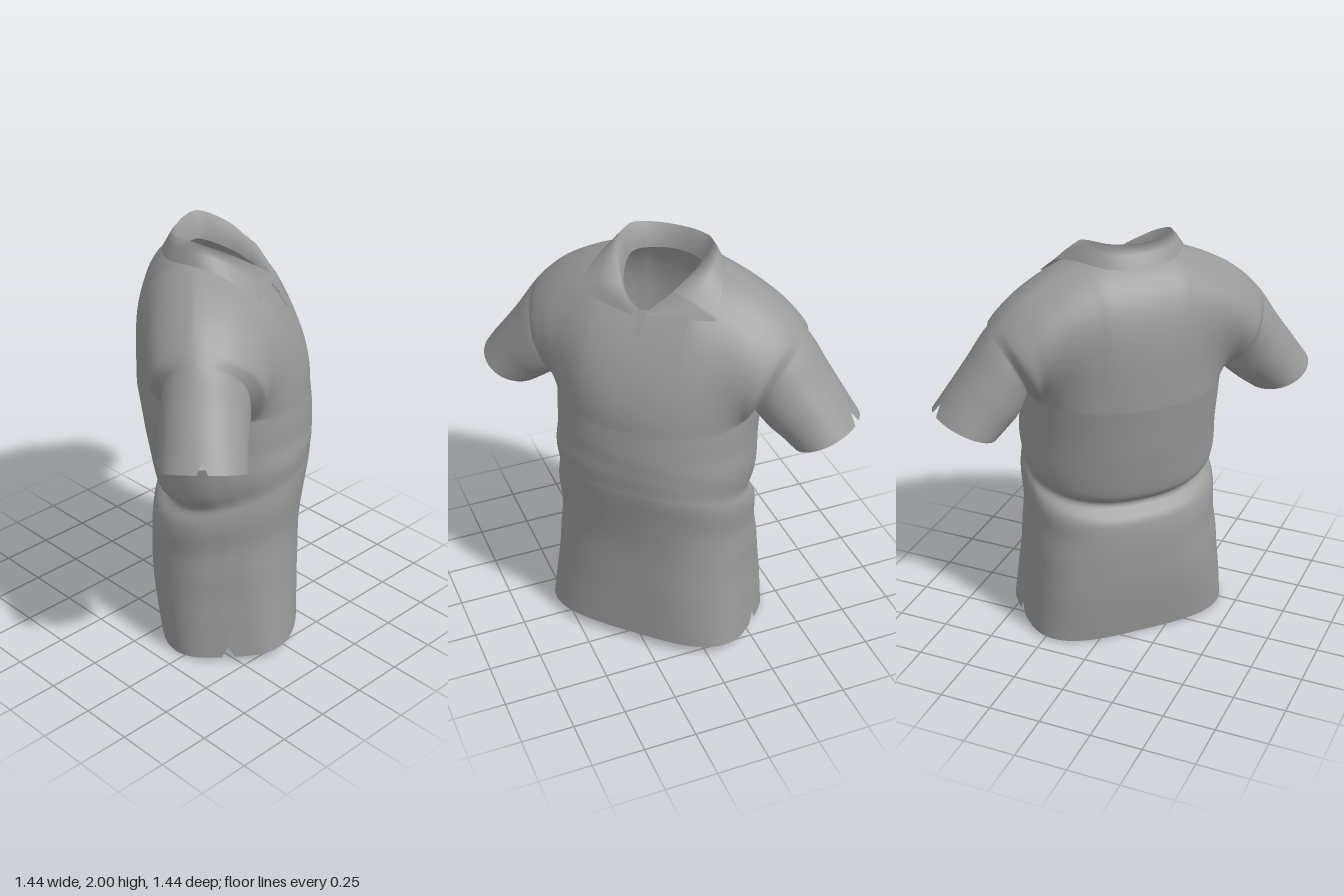
import * as THREE from 'three';
import { mergeGeometries, mergeVertices } from 'three/addons/utils/BufferGeometryUtils.js';

// Catmull-Rom interpolation of whole rows of numbers
function spline(rows, u) {
  const last = rows.length - 1;
  const i = Math.min(Math.floor(u), last - 1), t = u - i;
  const at = (k) => rows[Math.max(0, Math.min(last, k))];
  const [a, b, c, d] = [at(i - 1), at(i), at(i + 1), at(i + 2)];
  return b.map((p, k) => 0.5 * (2 * p + (c[k] - a[k]) * t
    + (2 * a[k] - 5 * p + 4 * c[k] - d[k]) * t * t
    + (3 * p - a[k] - 3 * c[k] + d[k]) * t * t * t));
}

// Surface through a grid of points: lines[i][j] = [x, y, z]
function loft(lines) {
  const m = lines[0].length, index = [];
  for (let i = 0; i < lines.length - 1; i++) {
    for (let j = 0; j < m - 1; j++) {
      const a = i * m + j, b = a + m;
      index.push(a, b, a + 1, b, b + 1, a + 1);
    }
  }
  const g = new THREE.BufferGeometry();
  g.setAttribute('position', new THREE.Float32BufferAttribute(lines.flat(2), 3));
  g.setIndex(index);
  return g;
}

function weld(parts) {
  const g = mergeVertices(mergeGeometries(parts), 1e-4);
  g.computeVertexNormals();
  return g;
}

// Torso rings: height, half width, centre z, half depth, squareness, tilt
const RINGS = [
  [0.03, 0.505, 0.10, 0.332, 3.3, 0.075],
  [0.30, 0.483, 0.08, 0.35, 2.8, 0.10],
  [0.55, 0.465, 0.08, 0.355, 2.5, 0.20],
  [0.76, 0.46, 0.105, 0.365, 2.4, 0.33],
  [0.84, 0.452, 0.14, 0.335, 2.3, 0.36],
  [0.91, 0.463, 0.115, 0.365, 2.3, 0.34],
  [1.04, 0.467, 0.095, 0.385, 2.2, 0.18],
  [1.16, 0.468, 0.08, 0.395, 2.2, 0.06],
  [1.27, 0.47, 0.065, 0.40, 2.2, 0],
];
const [CHEST_Y, CHEST_A, CHEST_Z, CHEST_B, CHEST_N] = RINGS[RINGS.length - 1];

// Shoulder and sleeve stations, neck centre to cuff: ridge x, y, z, neck cut angle front, back,
// bottom x, y, z, front bulge, back bulge, roundness
const HALF = [
  [0.00, 1.93, -0.05, 0.71, 0.30, 0.00, 1.27, 0.065, -0.04, -0.04, 0],
  [0.10, 1.93, -0.05, 0.585, 0.26, 0.10, 1.27, 0.065, -0.035, -0.04, 0],
  [0.18, 1.925, -0.05, 0.35, 0.15, 0.19, 1.27, 0.065, -0.02, -0.05, 0],
  [0.24, 1.91, -0.05, 0, 0, 0.26, 1.27, 0.065, 0.00, -0.06, 0],
  [0.39, 1.85, -0.05, 0, 0, 0.36, 1.27, 0.065, 0.03, -0.10, 0.1],
  [0.53, 1.765, -0.05, 0, 0, 0.43, 1.27, 0.065, 0.09, -0.16, 0.4],
  [0.65, 1.645, -0.04, 0, 0, 0.47, 1.27, 0.065, 0.145, -0.215, 0.8],
  [0.755, 1.49, -0.03, 0, 0, 0.53, 1.22, 0.03, 0.175, -0.21, 1],
  [0.84, 1.375, -0.02, 0, 0, 0.59, 1.17, 0.01, 0.18, -0.20, 1],
  [0.92, 1.265, -0.01, 0, 0, 0.645, 1.13, 0, 0.185, -0.20, 1],
];

function stationList() {
  const mirrored = HALF.slice(1).reverse().map((r) => r.map((v, k) => (k === 0 || k === 5 ? -v : v)));
  const rows = [...mirrored, ...HALF], per = 8, list = [];
  for (let i = 0; i <= (rows.length - 1) * per; i++) list.push(spline(rows, i / per));
  return list;
}

// Front (side = 1) or back (side = -1) of the yoke and both sleeves
function yoke(stations, side) {
  const lines = stations.map((s, i) => {
    let [xT, yT, zT, cutF, cutB, xB, y0, z0, bulgeF, bulgeB, k] = s;
    const start = Math.max(0, side > 0 ? cutF : cutB);
    const bulge = side > 0 ? bulgeF : bulgeB;
    const r = Math.abs(xB) / CHEST_A;
    if (r < 0.9999) {
      y0 = CHEST_Y;
      z0 = CHEST_Z + side * CHEST_B * Math.pow(1 - Math.pow(r, CHEST_N), 1 / CHEST_N);
    }
    const cuff = Math.max(0, 1 - Math.min(i, stations.length - 1 - i) / 8);
    const line = [];
    for (let j = 0; j <= 24; j++) {
      const al = start + (j / 24) * (Math.PI / 2 - start);
      const c = Math.cos(al), s2 = Math.sin(2 * al);
      const h = c + (c * c - c) * k;
      const p = [xB + (xT - xB) * h, y0 + (yT - y0) * h,
        zT + (z0 - zT) * Math.sin(al) + bulge * s2 * (k + (1 - k) * s2)];
      // small notch in the cuff
      if (j === 0) { p[0] -= Math.sign(xT) * 0.03 * cuff; p[1] += 0.045 * cuff; }
      line.push(p);
    }
    return line;
  });
  return loft(side > 0 ? lines.reverse() : lines);
}

// Torso tube whose columns meet the stations of the yoke
function torso(stations) {
  const quarter = [0, 0.02];
  for (const s of stations) {
    const r = s[5] / CHEST_A;
    if (r > -1e-6 && r < 0.9999) quarter.push(Math.acos(Math.pow(Math.max(r, 0), CHEST_N / 2)));
  }
  quarter.sort((a, b) => a - b);
  const half = [...quarter, ...quarter.slice(0, -1).reverse().map((a) => Math.PI - a)];
  const angles = [...half, ...half.slice(1).map((a) => a + Math.PI)].reverse();
  const steps = 64;
  return loft(angles.map((phi) => {
    const c = Math.cos(phi), s = Math.sin(phi), line = [];
    for (let j = 0; j <= steps; j++) {
      const v = j / steps;
      const [y, a, zc, b, n, tilt] = spline(RINGS, v * (RINGS.length - 1));
      // soft creases, strongest at the sides of the waist
      const w = 1 + 0.012 * Math.sin(Math.PI * v) ** 2 * Math.sin(y * 24 + 3 * c) * (0.3 + 0.7 * c * c);
      const x = a * w * Math.sign(c) * Math.pow(Math.abs(c), 2 / n);
      const z = b * w * Math.sign(s) * Math.pow(Math.abs(s), 2 / n);
      // side slit in the hem
      const slit = Math.abs(s) < 0.001 ? Math.max(0, 0.06 * (1 - j / 8)) : 0;
      line.push([x, y + tilt * z + slit, zc + z]);
    }
    return line;
  }));
}

// Collar sections, back centre to tip: stand base, fold, leaf edge
const COLLAR = [
  [0, 1.88, -0.13, 0, 1.99, -0.15, 0, 1.895, -0.21],
  [0.11, 1.88, -0.10, 0.12, 1.995, -0.125, 0.15, 1.90, -0.175],
  [0.18, 1.87, -0.04, 0.20, 2.00, -0.05, 0.255, 1.912, -0.06],
  [0.16, 1.83, 0.09, 0.19, 1.945, 0.09, 0.30, 1.878, 0.075],
  [0.10, 1.79, 0.19, 0.12, 1.865, 0.205, 0.33, 1.778, 0.217],
];
const COLLAR_END = [0.02, 1.75, 0.26, 0.02, 1.775, 0.29, 0.03, 1.768, 0.295];

function collar() {
  const flip = (r) => r.map((v, k) => (k % 3 ? v : -v));
  const rows = [...COLLAR.slice(1).reverse().map(flip), ...COLLAR];
  const sections = [flip(COLLAR_END)];
  for (let i = 0; i <= 48; i++) sections.push(spline(rows, i / 6));
  sections.push(COLLAR_END);
  return loft(sections.map((r) => {
    const base = r.slice(0, 3), fold = r.slice(3, 6), edge = r.slice(6);
    const mid = fold.map((v, k) => (v + edge[k]) / 2 + (k === 1 ? 0.008 : 0));
    return [base, fold, mid, edge];
  }));
}

export function createModel() {
  const model = new THREE.Group();
  model.name = 'poloShirt';
  const cloth = new THREE.MeshStandardMaterial({ color: 0x999999, side: THREE.DoubleSide });
  const add = (name, geometry, parent = model) => {
    const mesh = new THREE.Mesh(geometry, cloth);
    mesh.name = name;
    parent.add(mesh);
    return mesh;
  };

  const stations = stationList();
  add('bodyAndSleeves', weld([torso(stations), yoke(stations, 1), yoke(stations, -1)]));
  add('collar', weld([collar()]));

  // Narrow button placket below the collar opening
  const placket = new THREE.Group();
  placket.name = 'placket';
  placket.position.set(0, 1.70, 0.303);
  placket.rotation.x = -0.58;
  model.add(placket);
  add('placketStrip', new THREE.BoxGeometry(0.035, 0.17, 0.008), placket);
  for (const y of [0, 0.055]) {
    const button = add('button', new THREE.CylinderGeometry(0.013, 0.013, 0.006, 16), placket);
    button.rotation.x = Math.PI / 2;
    button.position.set(0, y, 0.006);
  }

  // The shirt faces diagonally
  model.rotation.y = Math.PI / 4;
  return model;
}
